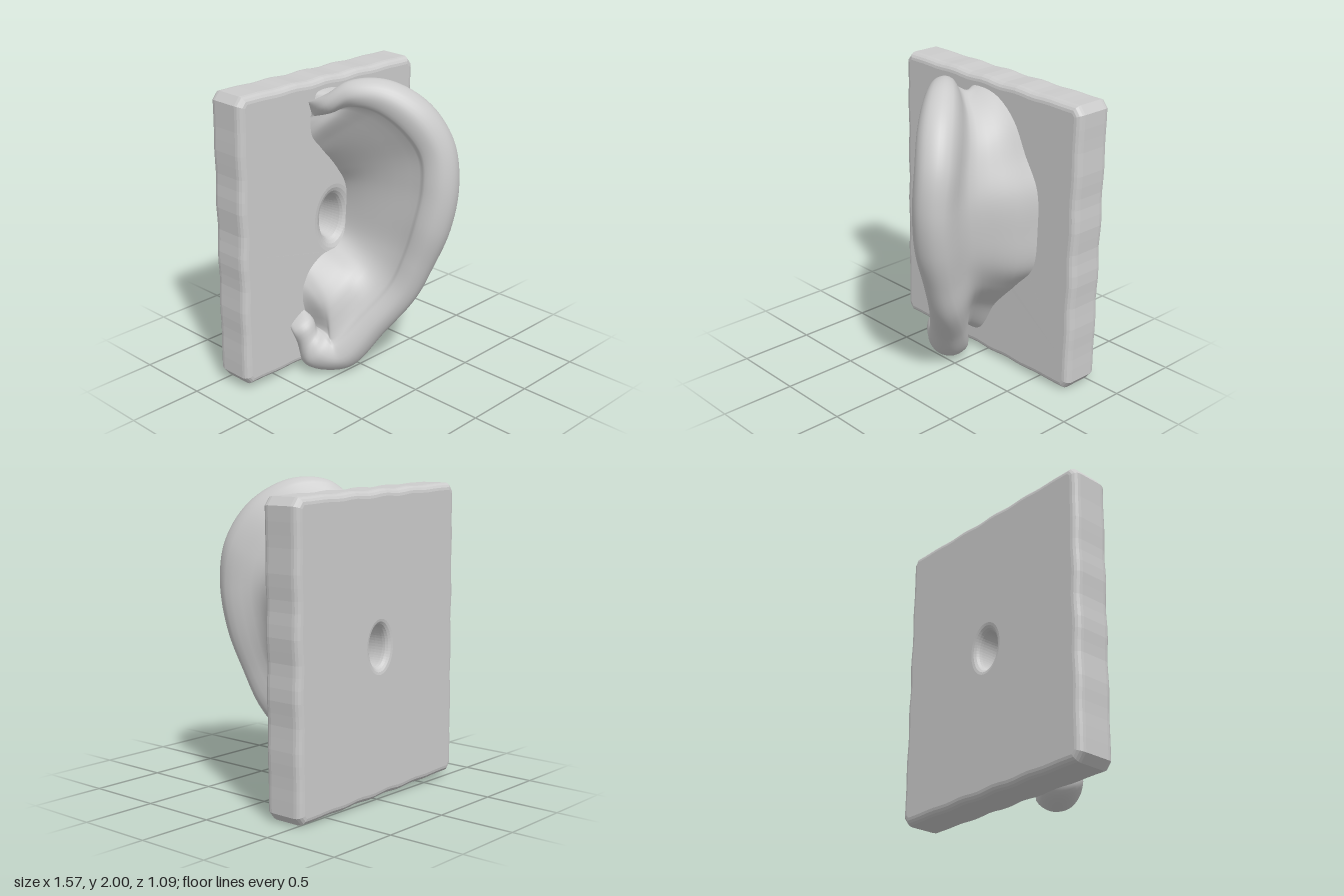
import * as THREE from 'three';

const material = new THREE.MeshStandardMaterial({ color: 0xcccccc, side: THREE.DoubleSide });
const V = (x, y, z) => new THREE.Vector3(x, y, z);

// Worn square slab with rounded edges and a hole that widens towards the ear
function createPlate() {
  const corners = [[-0.735, 0.08], [0.725, 0.05], [0.745, 1.88], [-0.715, 1.915]];
  const holeX = 0.02, holeY = 0.98;
  const shape = new THREE.Shape();
  corners.forEach(([x, y], i) => {
    const [nx, ny] = corners[(i + 1) % 4];
    for (let k = 0; k <= 24; k++) {
      // Stopping short of each corner leaves it slightly worn
      const t = 0.012 + 0.976 * k / 24;
      const wobble = 0.005 * Math.sin(k * 1.3 + i * 2) * Math.sin(Math.PI * t);
      const px = x + (nx - x) * t + (i % 2 ? wobble : 0);
      const py = y + (ny - y) * t + (i % 2 ? 0 : wobble);
      if (i + k === 0) shape.moveTo(px, py); else shape.lineTo(px, py);
    }
  });
  shape.closePath();
  const hole = new THREE.Path();
  hole.absellipse(holeX, holeY, 0.13, 0.175, 0, Math.PI * 2, true);
  shape.holes.push(hole);
  const geometry = new THREE.ExtrudeGeometry(shape, {
    depth: 0.175, steps: 6, bevelThickness: 0.05, bevelSize: 0.045, bevelSegments: 4, curveSegments: 24,
  });
  geometry.translate(0, 0, -0.485);
  const p = geometry.attributes.position;
  for (let i = 0; i < p.count; i++) {
    const x = p.getX(i), y = p.getY(i), z = p.getZ(i);
    // Funnel on the front of the hole
    if (Math.hypot(x - holeX, y - holeY) < 0.3 && z > -0.45) {
      const widen = 1 + 0.35 * ((z + 0.45) / 0.19) ** 2;
      p.setX(i, holeX + (x - holeX) * widen);
      p.setY(i, holeY + (y - holeY) * widen);
    }
    // Slight skew of the slab
    p.setZ(i, z - 0.012 * x);
  }
  geometry.computeVertexNormals();
  return new THREE.Mesh(geometry, material);
}

// Stations along the rim: rim x, y, z, radius, outer foot x, y, inner foot x, y, inner bulge
const stations = [
  [-0.19, 1.74, -0.33, 0.04, -0.21, 1.77, -0.22, 1.68, 0],
  [-0.16, 1.83, -0.12, 0.06, -0.17, 1.84, -0.22, 1.60, 0],
  [-0.09, 1.905, 0.00, 0.08, -0.08, 1.88, -0.20, 1.49, -0.02],
  [0.04, 1.89, 0.14, 0.11, 0.08, 1.86, -0.12, 1.41, -0.03],
  [0.175, 1.76, 0.29, 0.13, 0.23, 1.74, -0.03, 1.35, -0.02],
  [0.26, 1.56, 0.39, 0.13, 0.35, 1.52, 0.05, 1.27, -0.02],
  [0.27, 1.32, 0.42, 0.13, 0.47, 1.32, 0.12, 1.18, -0.03],
  [0.245, 1.05, 0.385, 0.13, 0.49, 1.05, 0.15, 1.00, -0.03],
  [0.21, 0.80, 0.31, 0.115, 0.46, 0.76, 0.12, 0.84, 0],
  [0.16, 0.58, 0.22, 0.115, 0.30, 0.60, 0.04, 0.79, 0.06],
  [0.03, 0.36, 0.08, 0.125, 0.09, 0.38, -0.09, 0.80, 0.12],
  [-0.13, 0.145, -0.07, 0.145, -0.06, 0.10, -0.20, 0.76, 0.13],
  [-0.25, 0.17, -0.17, 0.14, -0.32, 0.12, -0.27, 0.67, 0.10],
  [-0.31, 0.31, -0.23, 0.09, -0.39, 0.28, -0.32, 0.59, 0.05],
  [-0.33, 0.42, -0.34, 0.05, -0.38, 0.40, -0.36, 0.50, 0],
];

// Control points across the ear wall, from outer foot over the rim to inner foot
function crossSection(s, i) {
  const rim = V(s[0], s[1], s[2]);
  const r = s[3];
  const before = stations[Math.max(i - 1, 0)];
  const after = stations[Math.min(i + 1, stations.length - 1)];
  const tangent = V(after[0] - before[0], after[1] - before[1], after[2] - before[2]).normalize();
  const outer = V(s[4], s[5], -0.36);
  const inner = V(s[6], s[7], -0.36);
  const tip = rim.clone().sub(outer.clone().lerp(inner, 0.5));
  tip.addScaledVector(tangent, -tip.dot(tangent)).normalize();
  const side = tangent.clone().cross(tip).normalize();
  if (side.dot(outer.clone().sub(inner)) < 0) side.negate();
  const offset = (u, v) => rim.clone().addScaledVector(side, r * u).addScaledVector(tip, r * v);
  const around = (deg) => {
    const a = THREE.MathUtils.degToRad(deg);
    return offset(Math.cos(a), Math.sin(a));
  };
  // The back narrows behind the rim, then swells towards the slab
  const height = rim.z + 0.36;
  const outerNeck = offset(0.45, -Math.min(1.8, 0.4 * height / r));
  const swell = outer.clone().lerp(outerNeck, 0.45).addScaledVector(side, 0.05 * height);
  const innerNeck = around(205);
  return [
    outer, swell, outerNeck,
    around(0), around(45), around(90), around(135), around(180),
    innerNeck, innerNeck.clone().lerp(inner, 0.55).add(V(0, 0, s[8])), inner,
  ];
}

// Skin lofted through all cross-sections
function createEar() {
  const sections = stations.map(crossSection);
  const columns = sections[0].map((_, c) => new THREE.CatmullRomCurve3(sections.map((s) => s[c])));
  const along = 110, across = 40;
  const positions = [], index = [];
  for (let i = 0; i <= along; i++) {
    const profile = new THREE.CatmullRomCurve3(columns.map((c) => c.getPoint(i / along)));
    for (let j = 0; j <= across; j++) {
      const p = profile.getPoint(j / across);
      positions.push(p.x, Math.max(p.y, 0), p.z);
      if (i < along && j < across) {
        const a = i * (across + 1) + j, b = a + across + 1;
        index.push(a, a + 1, b, b, a + 1, b + 1);
      }
    }
  }
  const geometry = new THREE.BufferGeometry();
  geometry.setAttribute('position', new THREE.Float32BufferAttribute(positions, 3));
  geometry.setIndex(index);
  geometry.computeVertexNormals();
  return new THREE.Mesh(geometry, material);
}

export function createModel() {
  const group = new THREE.Group();
  group.name = 'earOnPlate';
  const plate = createPlate();
  plate.name = 'backPlate';
  const ear = createEar();
  ear.name = 'ear';
  group.add(plate, ear);
  return group;
}
